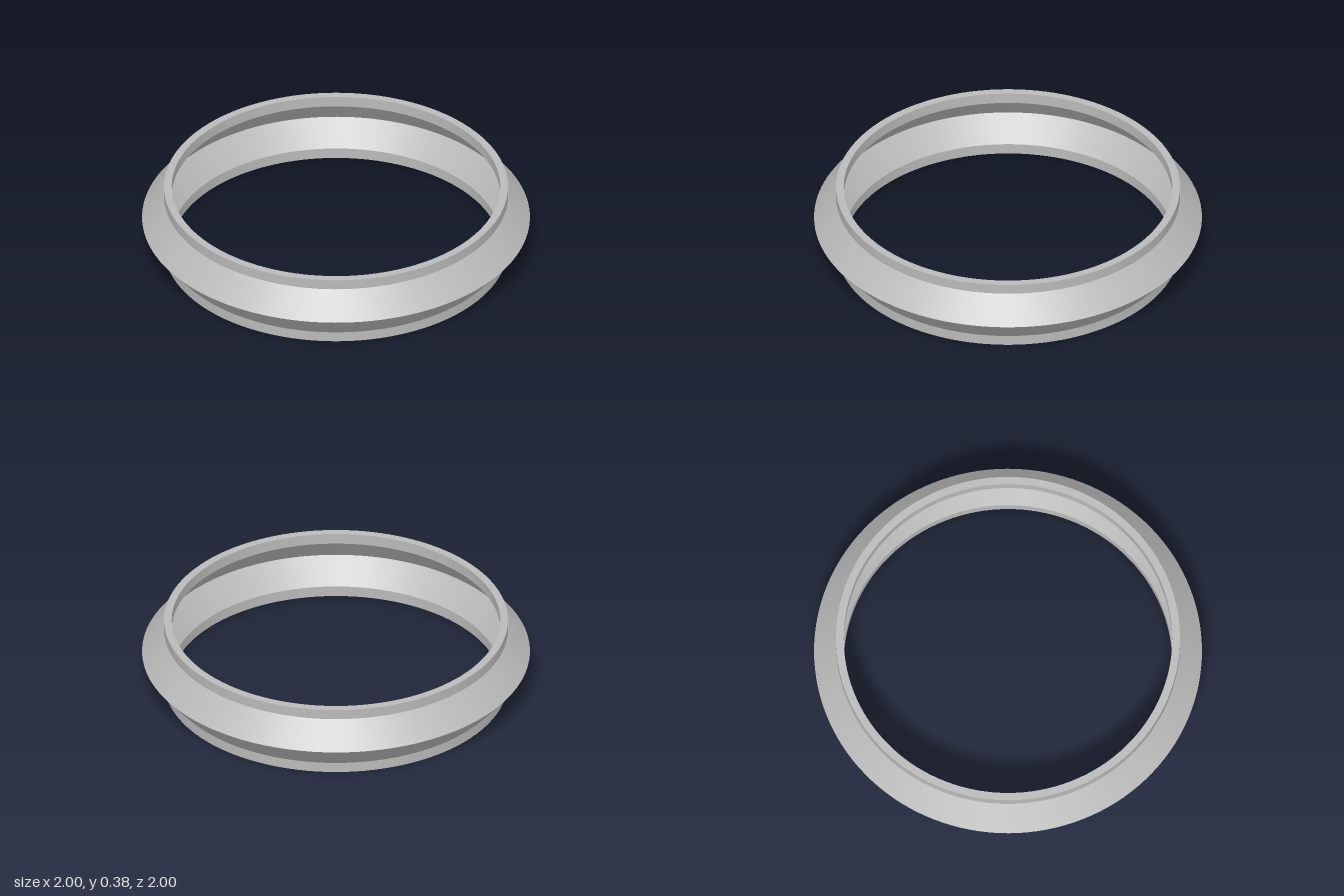
import * as THREE from 'three';
import { toCreasedNormals } from 'three/addons/utils/BufferGeometryUtils.js';

const HEIGHT = 0.375;

export function createModel() {
  const group = new THREE.Group();
  group.name = 'ridgedRing';

  const greyMetal = new THREE.MeshStandardMaterial({ color: 0xbababa });
  greyMetal.name = 'plain grey';

  // Half-height profiles [radius, height] from the bottom collar to the ridge
  const outer = [[0.887, 0], [0.887, 0.055], [1, HEIGHT / 2]];
  const inner = [[0.847, 0], [0.847, 0.058], [0.948, HEIGHT / 2]];

  // Mirror each profile about the ridge to reach the top collar
  const mirrored = (half) => [
    ...half,
    ...half.slice(0, -1).reverse().map(([r, y]) => [r, HEIGHT - y]),
  ];

  // Closed wall section: up the outside, down the inside, back to the start
  const section = [...mirrored(outer), ...mirrored(inner).reverse(), outer[0]]
    .map(([r, y]) => new THREE.Vector2(r, y));

  // Thin wall swept around the axis, smooth around and sharp at the folds
  const wall = new THREE.Mesh(
    toCreasedNormals(new THREE.LatheGeometry(section, 128), 0.4),
    greyMetal,
  );
  wall.name = 'ringWall';
  group.add(wall);

  return group;
}
